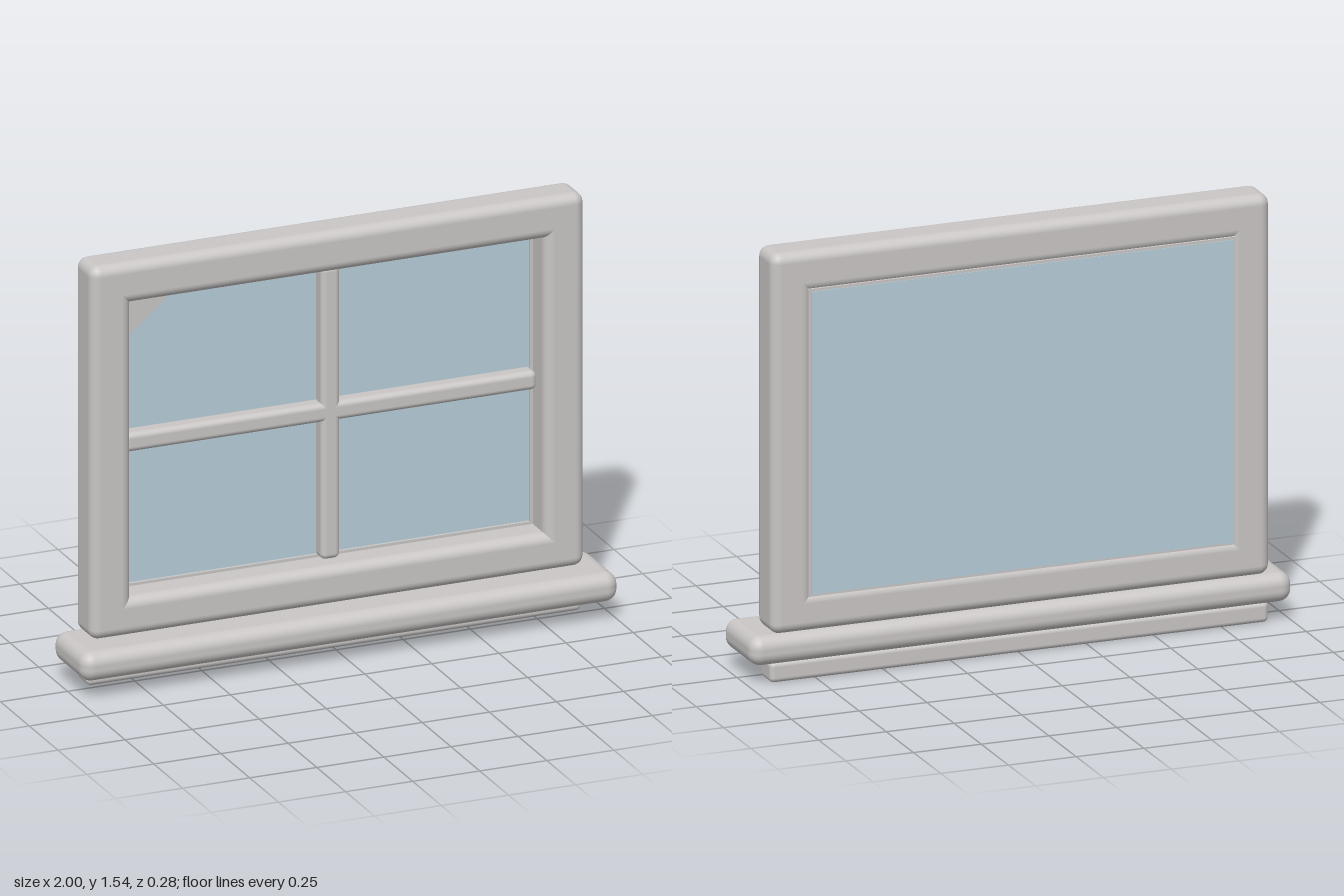
import * as THREE from 'three';
import { RoundedBoxGeometry } from 'three/addons/geometries/RoundedBoxGeometry.js';

export function createModel() {
  const group = new THREE.Group();
  const paint = new THREE.MeshStandardMaterial({ color: 0xc9c6c5 });
  paint.name = 'framePaint';
  const glass = new THREE.MeshStandardMaterial({ color: 0xb7ced9 });
  glass.name = 'glassBlue';

  const add = (name, geometry, material) => {
    const mesh = new THREE.Mesh(geometry, material);
    mesh.name = name;
    group.add(mesh);
    return mesh;
  };

  // Rounded bar given by its extents on each axis
  const bar = (name, [x0, x1], [y0, y1], [z0, z1], radius) => {
    const geometry = new RoundedBoxGeometry(x1 - x0, y1 - y0, z1 - z0, 4, radius);
    geometry.translate((x0 + x1) / 2, (y0 + y1) / 2, (z0 + z1) / 2);
    return add(name, geometry, paint);
  };

  // Sill and the apron under it
  bar('sill', [-1, 1], [0.07, 0.177], [-0.14, 0.14], 0.045);
  bar('apron', [-0.92, 0.92], [0, 0.075], [-0.11, -0.01], 0.018);

  // Outer frame: overlapping rounded bars that mitre at the inner corners
  const depth = [-0.127, 0.025];
  bar('leftStile', [0.77, 0.92], [0.175, 1.545], depth, 0.037);
  bar('rightStile', [-0.92, -0.77], [0.175, 1.545], depth, 0.037);
  bar('topRail', [-0.92, 0.92], [1.395, 1.545], depth, 0.037);
  bar('bottomRail', [-0.92, 0.92], [0.175, 0.315], depth, 0.037);

  // Thin sash rim around the pane
  const rect = (Type, x, y0, y1) => {
    const path = new Type();
    path.moveTo(-x, y0);
    path.lineTo(x, y0);
    path.lineTo(x, y1);
    path.lineTo(-x, y1);
    path.closePath();
    return path;
  };
  const rim = rect(THREE.Shape, 0.788, 0.303, 1.41);
  rim.holes.push(rect(THREE.Path, 0.76, 0.325, 1.385));
  add('sashRim', new THREE.ExtrudeGeometry(rim, { depth: 0.043, bevelEnabled: false }), paint)
    .position.z = -0.129;

  // Glass pane, seated flush with the back
  add('glassPane', new THREE.BoxGeometry(1.556, 1.09, 0.035), glass)
    .position.set(0, 0.856, -0.1145);

  // Pale corner patch on the front of the glass
  const patch = new THREE.Shape([
    new THREE.Vector2(-0.765, 1.39),
    new THREE.Vector2(-0.765, 1.205),
    new THREE.Vector2(-0.54, 1.39),
  ]);
  add('cornerPatch', new THREE.ExtrudeGeometry(patch, { depth: 0.003, bevelEnabled: false }), paint)
    .position.z = -0.098;

  // Crossed glazing bars
  bar('verticalGlazingBar', [-0.035, 0.035], [0.317, 1.392], [-0.11, -0.04], 0.02);
  bar('horizontalGlazingBar', [-0.768, 0.768], [0.823, 0.892], [-0.11, -0.04], 0.02);

  return group;
}
